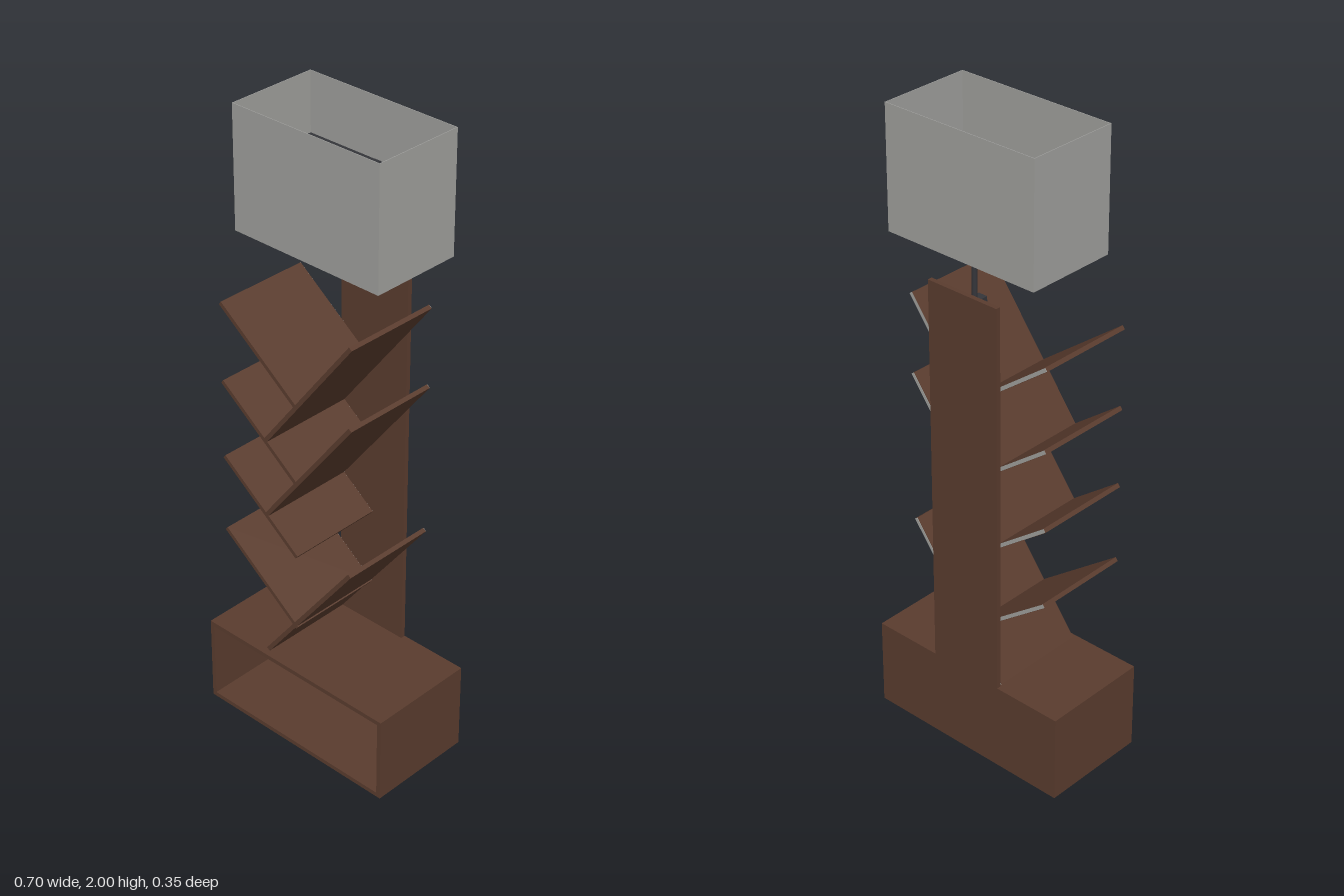
import * as THREE from 'three';

const mat = (name, color) => {
  const m = new THREE.MeshStandardMaterial({ color });
  m.name = name;
  return m;
};

export function createModel() {
  const model = new THREE.Group();
  model.name = 'shelfWithLamp';
  const wood = mat('walnut brown', 0x5a3c2e);
  const metal = mat('dark metal', 0x34353a);
  const fabric = mat('shade grey', 0xa0a09d);
  const white = mat('bulb white', 0xd2cecc);

  const add = (name, geometry, material, x, y, z, parent = model) => {
    const mesh = new THREE.Mesh(geometry, material);
    mesh.name = name;
    mesh.position.set(x, y, z);
    parent.add(mesh);
    return mesh;
  };
  // Box given by its minimum and maximum corners
  const box = (name, material, [x0, y0, z0], [x1, y1, z1], parent) =>
    add(name, new THREE.BoxGeometry(x1 - x0, y1 - y0, z1 - z0), material,
      (x0 + x1) / 2, (y0 + y1) / 2, (z0 + z1) / 2, parent);
  const group = (name) => {
    const g = new THREE.Group();
    g.name = name;
    model.add(g);
    return g;
  };

  // Base cabinet, open at the front
  const t = 0.014;
  const base = group('baseCabinet');
  box('baseBottom', wood, [-0.35, 0, -0.175], [0.35, t, 0.175], base);
  box('baseTop', wood, [-0.35, 0.283 - t, -0.175], [0.35, 0.283, 0.175], base);
  box('baseBack', wood, [-0.35, t, -0.175], [0.35, 0.283 - t, -0.161], base);
  for (const s of [-1, 1]) {
    add('baseSide', new THREE.BoxGeometry(t, 0.283 - 2 * t, 0.336), wood,
      s * (0.35 - t / 2), 0.1415, 0.007, base);
  }

  // Upright back board
  box('backBoard', wood, [-0.125, 0.283, -0.175], [0.125, 1.53, -0.16]);

  // Sloping shelves, each with a pale strip on its back edge
  const shelf = (name, x0, y0, x1, y1) => {
    const g = group(name);
    const length = Math.hypot(x1 - x0, y1 - y0);
    g.position.set((x0 + x1) / 2, (y0 + y1) / 2, 0);
    g.rotation.z = Math.atan2(y1 - y0, x1 - x0);
    add('shelfBoard', new THREE.BoxGeometry(length, 0.013, 0.315), wood, 0, 0, -0.0015, g);
    add('shelfBackEdge', new THREE.BoxGeometry(length, 0.011, 0.001), fabric, 0, 0, -0.1594, g);
  };
  for (const y of [0.43, 0.682, 0.934, 1.187]) shelf('rightShelf', -0.287, y + 0.216, 0, y);
  for (const y of [0.287, 0.77, 1.022]) shelf('leftShelf', -0.122, y, 0.207, y + 0.433);

  // Lamp clamp, post and arm
  const lamp = group('lampStand');
  const clamp = add('clamp', new THREE.CylinderGeometry(0.014, 0.014, 0.07, 20), metal, 0, 1.482, -0.125, lamp);
  clamp.rotation.x = Math.PI / 2;
  box('clampPlate', metal, [-0.015, 1.472, -0.16], [0.015, 1.497, -0.092], lamp);
  add('post', new THREE.CylinderGeometry(0.008, 0.008, 0.32, 16), metal, 0, 1.65, -0.125, lamp);
  box('arm', metal, [-0.01, 1.8, -0.168], [0.01, 1.82, -0.06], lamp);
  box('bulb', white, [-0.04, 1.77, -0.065], [0.04, 1.85, 0.015], lamp);
  add('pullCord', new THREE.CylinderGeometry(0.0015, 0.0015, 0.18, 6), metal, 0.03, 1.69, -0.053, lamp);
  add('pullKnob', new THREE.SphereGeometry(0.005, 10, 8), metal, 0.03, 1.598, -0.053, lamp);

  // Rectangular shade, open above and below, on a metal frame
  const shade = group('lampShade');
  shade.position.set(0.0075, 0, -0.0275);
  const w = 0.263, d = 0.1475, wall = 0.002, rod = 0.012;
  for (const s of [-1, 1]) {
    add('shadePanel', new THREE.BoxGeometry(2 * w, 0.375, wall), fabric, 0, 1.8125, s * (d - wall / 2), shade);
    add('shadeSide', new THREE.BoxGeometry(wall, 0.375, 2 * (d - wall)), fabric, s * (w - wall / 2), 1.8125, 0, shade);
    add('frameRod', new THREE.BoxGeometry(2 * (w - wall), rod, rod), metal, 0, 1.81, s * (d - wall - rod / 2), shade);
    add('frameSideRod', new THREE.BoxGeometry(rod, rod, 2 * (d - wall - rod)), metal,
      s * (w - wall - rod / 2), 1.81, 0, shade);
  }
  return model;
}
